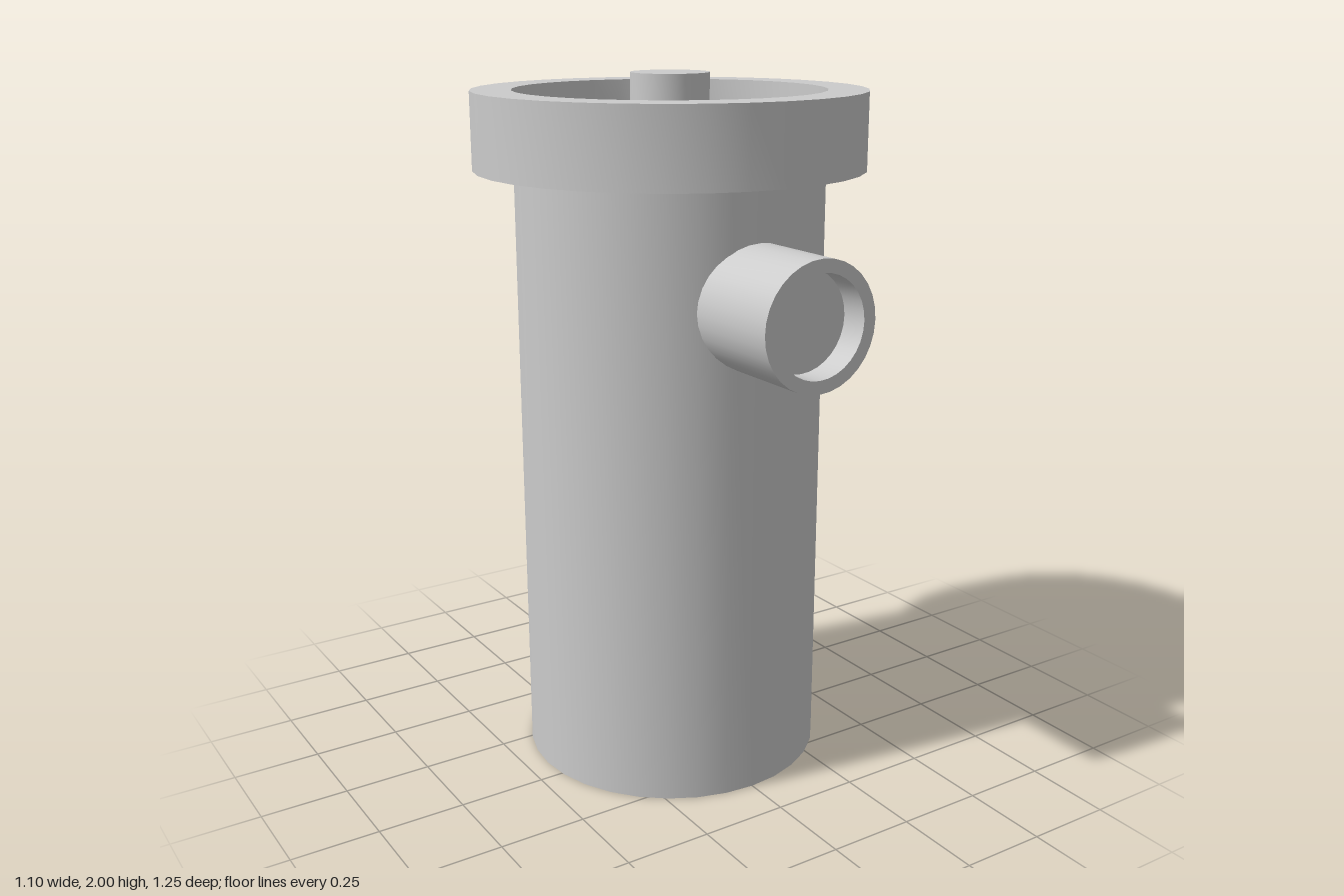
import * as THREE from 'three';
import { toCreasedNormals } from 'three/addons/utils/BufferGeometryUtils.js';

const SIDES = 32;
const AXIS_Z = -0.075; // the canister sits behind centre, balancing the spout

const material = new THREE.MeshStandardMaterial({ color: 0xcccccc });

// Turned part from a profile of [radius, height] points, bottom to top
function turned(name, profile) {
  const points = profile.map(([r, y]) => new THREE.Vector2(r, y));
  const geometry = toCreasedNormals(new THREE.LatheGeometry(points, SIDES), 0.5);
  const mesh = new THREE.Mesh(geometry, material);
  mesh.name = name;
  return mesh;
}

export function createModel() {
  const model = new THREE.Group();
  model.name = 'canister';

  // Cylindrical body with a wide collar and a recessed top
  const body = turned('body', [
    [0, 0], [0.437, 0], [0.437, 1.74], [0.55, 1.74],
    [0.55, 1.955], [0.437, 1.955], [0.437, 1.825], [0, 1.825],
  ]);
  body.position.z = AXIS_Z;

  // Short post standing in the recess
  const post = turned('centrePost', [[0, 1.81], [0.11, 1.81], [0.11, 2], [0, 2]]);
  post.position.z = AXIS_Z;

  // Front spout with a shallow blind bore
  const spout = turned('spout', [
    [0, 0.28], [0.173, 0.28], [0.173, 0.625], [0.137, 0.625], [0.137, 0.545], [0, 0.545],
  ]);
  spout.rotation.x = Math.PI / 2;
  spout.position.y = 1.415;

  model.add(body, post, spout);
  return model;
}
